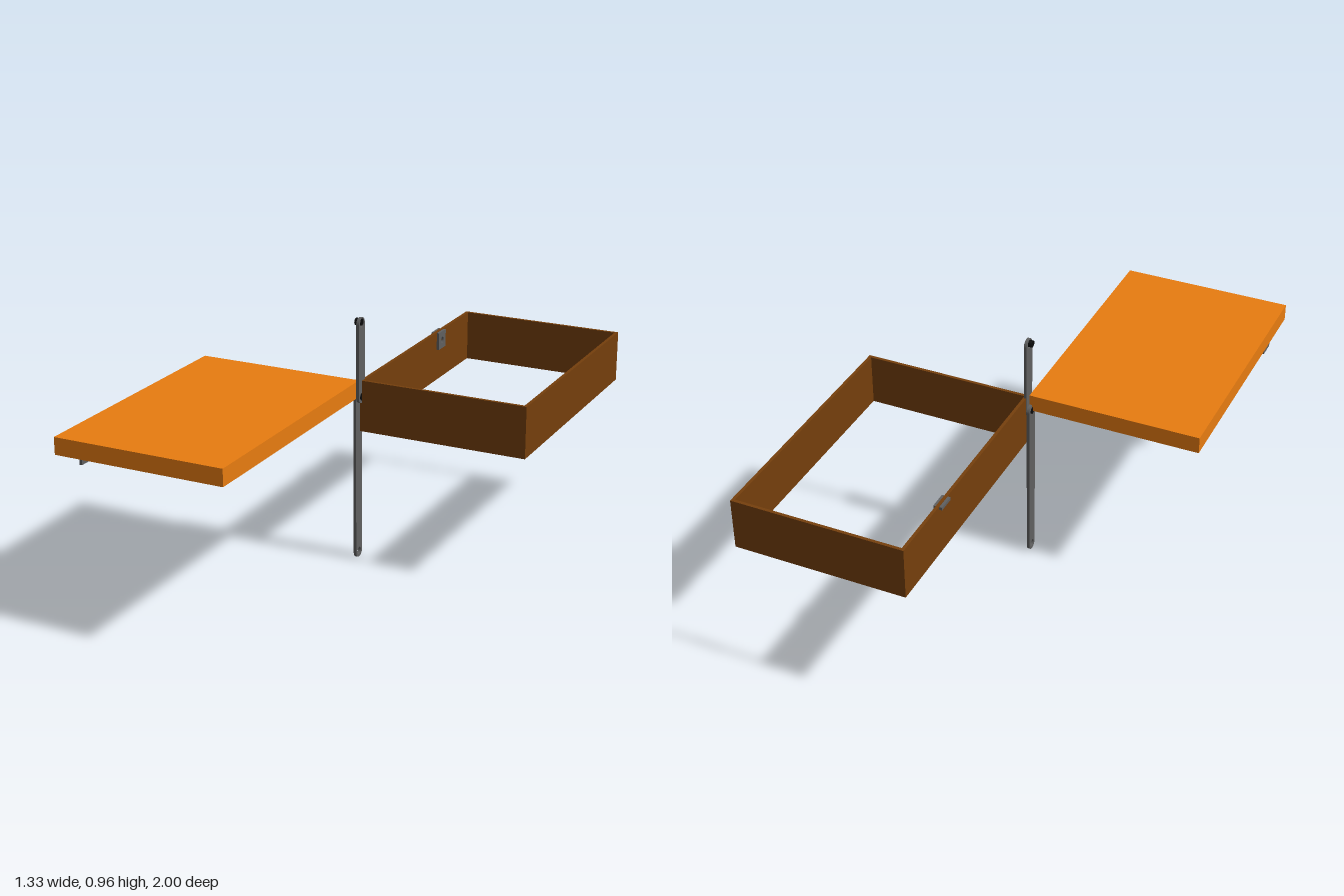
import * as THREE from 'three';

const mat = (color) => new THREE.MeshStandardMaterial({ color, flatShading: true });
const orange = mat(0xe87c10);
const brown = mat(0x753f0c);
const steel = mat(0x606060);
const black = mat(0x0a0a0a);

function add(parent, name, geometry, material, x = 0, y = 0, z = 0) {
  const mesh = new THREE.Mesh(geometry, material);
  mesh.name = name;
  mesh.position.set(x, y, z);
  parent.add(mesh);
  return mesh;
}

// Extrudes a shape drawn in (z, y) so that it spans x0 to x1
function plate(shape, x0, x1) {
  const g = new THREE.ExtrudeGeometry(shape, { depth: x1 - x0, bevelEnabled: false, curveSegments: 16 });
  g.rotateY(-Math.PI / 2);
  return g.translate(x1, 0, 0);
}

function hole(z, y, r) {
  return new THREE.Path().absarc(z, y, r, 0, Math.PI * 2, true);
}

// Flat bar with round ends and a hole at each end
function bar(y0, y1, r, x0, x1) {
  const s = new THREE.Shape();
  s.absarc(0, y1 - r, r, 0, Math.PI, false);
  s.absarc(0, y0 + r, r, Math.PI, Math.PI * 2, false);
  s.closePath();
  s.holes.push(hole(0, y0 + r, 0.014), hole(0, y1 - r, 0.014));
  return plate(s, x0, x1);
}

// Angle bracket: drilled vertical leg and a short flange on top
function bracket(name, flangeSide, legX) {
  const g = new THREE.Group();
  g.name = name;
  const s = new THREE.Shape();
  s.moveTo(-0.033, -0.07);
  s.lineTo(0.033, -0.07);
  s.lineTo(0.033, 0);
  s.lineTo(-0.033, 0);
  s.closePath();
  s.holes.push(hole(0, -0.036, 0.013));
  add(g, name + 'Leg', plate(s, legX - 0.005, legX + 0.005), steel);
  add(g, name + 'Flange', new THREE.BoxGeometry(0.023, 0.011, 0.066), steel,
    legX + flangeSide * 0.0165, -0.0055, 0);
  return g;
}

export function createModel() {
  const model = new THREE.Group();
  model.name = 'hingedPanelAndFrame';

  // Solid lid panel
  add(model, 'panel', new THREE.BoxGeometry(0.665, 0.065, 1), orange, -0.3335, 0.6825, 0.5);

  // Open rectangular frame
  const rim = new THREE.Shape();
  rim.moveTo(0.002, 0);
  rim.lineTo(0.665, 0);
  rim.lineTo(0.665, 1);
  rim.lineTo(0.002, 1);
  rim.closePath();
  const t = 0.012;
  const inner = new THREE.Path();
  inner.moveTo(0.002 + t, t);
  inner.lineTo(0.002 + t, 1 - t);
  inner.lineTo(0.665 - t, 1 - t);
  inner.lineTo(0.665 - t, t);
  inner.closePath();
  rim.holes.push(inner);
  const frame = new THREE.ExtrudeGeometry(rim, { depth: 0.2, bevelEnabled: false });
  frame.rotateX(-Math.PI / 2);
  add(model, 'frame', frame, brown, 0, 0.515, 0);

  // Two-part linkage arm
  add(model, 'lowerArm', bar(0, 0.675, 0.025, -0.012, -0.001), steel);
  add(model, 'upperArm', bar(0.628, 0.96, 0.025, -0.001, 0.01), steel);

  // Pivot pins
  for (const [name, y] of [['middlePin', 0.652], ['topPin', 0.942]]) {
    const pin = new THREE.CylinderGeometry(0.0135, 0.0135, 0.025, 20);
    pin.rotateZ(Math.PI / 2);
    add(model, name, pin, black, -0.002, y, 0);
  }

  // Brackets under the panel and inside the frame wall
  const panelBracket = bracket('panelBracket', 1, -0.637);
  panelBracket.position.set(0, 0.65, 0.86);
  const frameBracket = bracket('frameBracket', -1, 0.019);
  frameBracket.position.set(0, 0.713, -0.705);
  model.add(panelBracket, frameBracket);

  return model;
}
